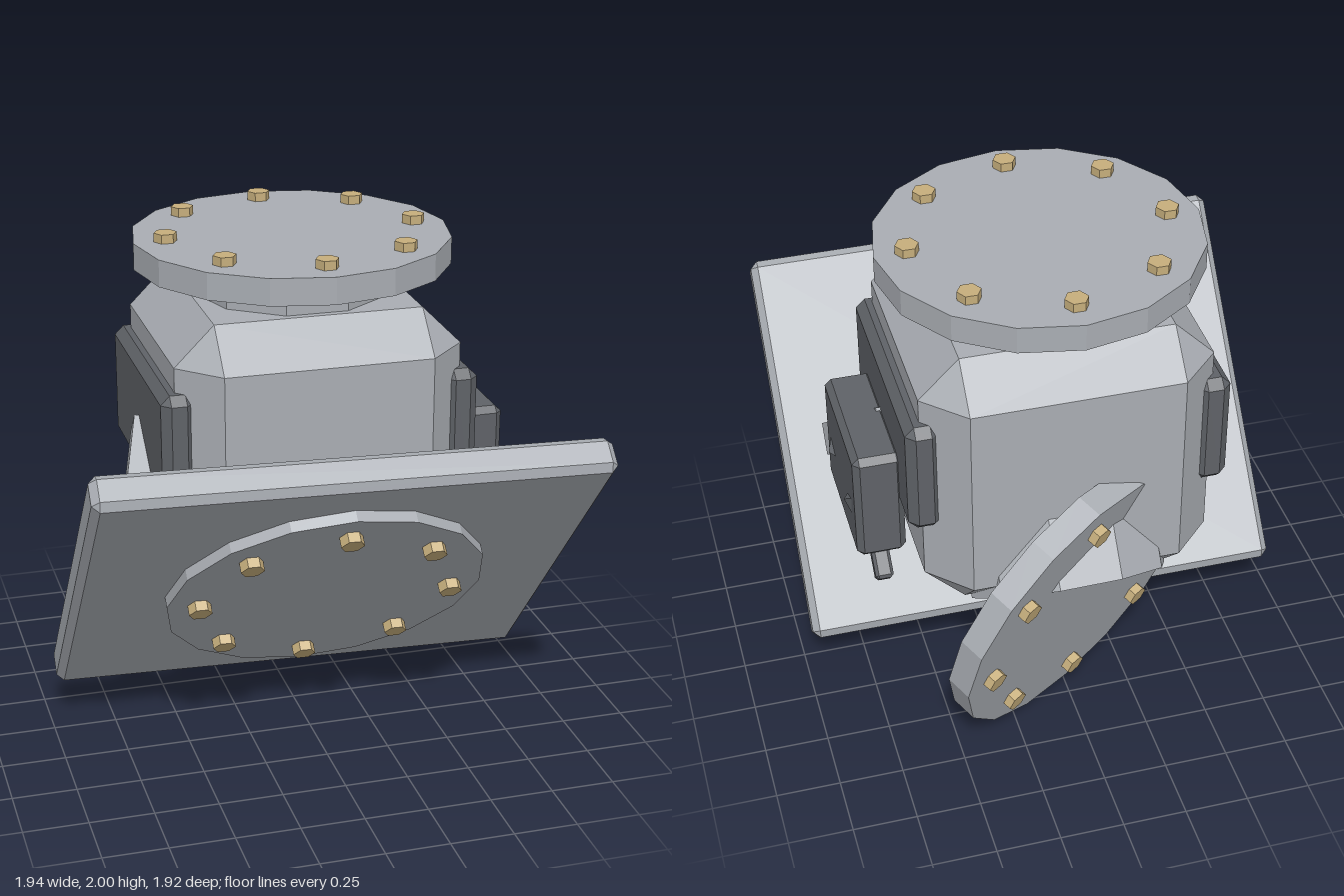
import * as THREE from 'three';
import { ConvexGeometry } from 'three/addons/geometries/ConvexGeometry.js';

const mat = (name, color) => {
  const m = new THREE.MeshStandardMaterial({ color, flatShading: true });
  m.name = name;
  return m;
};
const V = (x, y, z) => new THREE.Vector3(x, y, z);

// Box with every edge and corner cut flat
function chamferBox(w, h, d, b) {
  const pts = [];
  for (const sx of [-1, 1]) for (const sy of [-1, 1]) for (const sz of [-1, 1]) {
    const [x, y, z] = [w / 2, h / 2, d / 2];
    pts.push(V(sx * x, sy * (y - b), sz * (z - b)));
    pts.push(V(sx * (x - b), sy * y, sz * (z - b)));
    pts.push(V(sx * (x - b), sy * (y - b), sz * z));
  }
  return new ConvexGeometry(pts);
}

// Places an object with its local y along yDir and local z near zDir
function orient(obj, pos, yDir, zDir) {
  const y = yDir.clone().normalize();
  const x = y.clone().cross(zDir).normalize();
  const z = x.clone().cross(y);
  obj.quaternion.setFromRotationMatrix(new THREE.Matrix4().makeBasis(x, y, z));
  obj.position.copy(pos);
  return obj;
}

export function createModel() {
  const root = new THREE.Group();
  const steel = mat('light steel', 0xa9adb3);
  const dark = mat('dark steel', 0x5f6267);
  const brass = mat('brass', 0xc6ae7c);
  const centre = V(0.02, 1.19, -0.105);

  const add = (name, geo, material, parent = root) => {
    const m = new THREE.Mesh(geo, material);
    m.name = name;
    parent.add(m);
    return m;
  };

  // Hub body
  add('body', chamferBox(1.12, 1.12, 1.11, 0.155), steel).position.copy(centre);

  // Ports: a ten-sided neck from the hub and a bolted round flange
  function neck(dir, zDir, length) {
    const geo = new THREE.CylinderGeometry(0.39, 0.39, length - 0.2, 10);
    geo.rotateY(Math.PI / 2).translate(0, (length + 0.2) / 2, 0);
    orient(add('neck', geo, steel), centre, dir, zDir);
  }
  function flange(mid, dir, zDir, boltHeight, rimMaterial) {
    const g = new THREE.Group();
    g.name = 'flange';
    add('flangeDisc', new THREE.CylinderGeometry(0.62, 0.62, 0.105, 16), rimMaterial, g);
    for (let i = 0; i < 8; i++) {
      const a = (i * Math.PI) / 4;
      const geo = new THREE.CylinderGeometry(0.045, 0.045, boltHeight + 0.02, 6).rotateY(Math.PI / 2);
      add('bolt', geo, brass, g).position.set(
        0.495 * Math.sin(a), 0.0425 + boltHeight / 2, 0.495 * Math.cos(a));
    }
    root.add(orient(g, mid, dir, zDir));
  }
  const along = (dir, s) => centre.clone().addScaledVector(dir, s);

  const up = V(0, 1, 0), front = V(0, 0, 1);
  neck(up, front, 0.68);
  flange(along(up, 0.7225), up, front, 0.035, steel);

  const tilt = V(-0.032, -0.65, 0.76).normalize();
  const tiltUp = V(0, 0.76, 0.65);
  neck(tilt, tiltUp, 0.68);
  flange(along(tilt, 0.715), tilt, tiltUp, 0.04, steel);

  // Rear port: the flange is turned away from its neck
  neck(V(-0.01, -0.8, -0.6).normalize(), V(0, 0.6, -0.8), 0.7);
  flange(V(0.01, 0.6, -0.56), V(-0.515, -0.28, -0.81), V(0, 0.946, -0.325), 0.035, steel);

  // Large tilted front plate
  orient(add('frontPlate', chamferBox(1.94, 0.145, 1.56, 0.028), steel),
    V(0, 0.775, 0.395), tilt, tiltUp);

  // Side pads and the struts that carry the plate
  for (const s of [-1, 1]) {
    add('sidePad', chamferBox(0.13, 0.465, 0.93, 0.035), dark)
      .position.set(0.02 + s * 0.555, 1.267, -0.105);
    const a = V(0.02 + s * 0.58, 1.22, -0.12), b = V(0.005 + s * 0.735, 0.83, 0.35);
    const strut = add('strut', new THREE.BoxGeometry(0.12, a.distanceTo(b), 0.13), steel);
    orient(strut, a.clone().add(b).multiplyScalar(0.5), b.clone().sub(a), tiltUp);
  }

  // Control box on the left side with two small studs and a lever
  add('controlBox', chamferBox(0.19, 0.465, 0.57, 0.025), dark).position.set(0.715, 1.035, -0.105);
  for (const s of [-1, 1]) {
    const tip = V(0.805, 1.0, -0.105 + s * 0.11);
    const stud = new ConvexGeometry([
      tip, tip.clone().add(V(0, 0.045, s * 0.1)), tip.clone().add(V(0, -0.05, s * 0.09)),
      tip.clone().add(V(0.025, 0, s * 0.04)),
    ]);
    add('stud', stud, dark);
  }
  const lever = add('lever', chamferBox(0.07, 0.06, 0.17, 0.012), dark);
  lever.position.set(0.72, 0.77, -0.36);
  lever.rotation.x = -0.75;
  return root;
}
